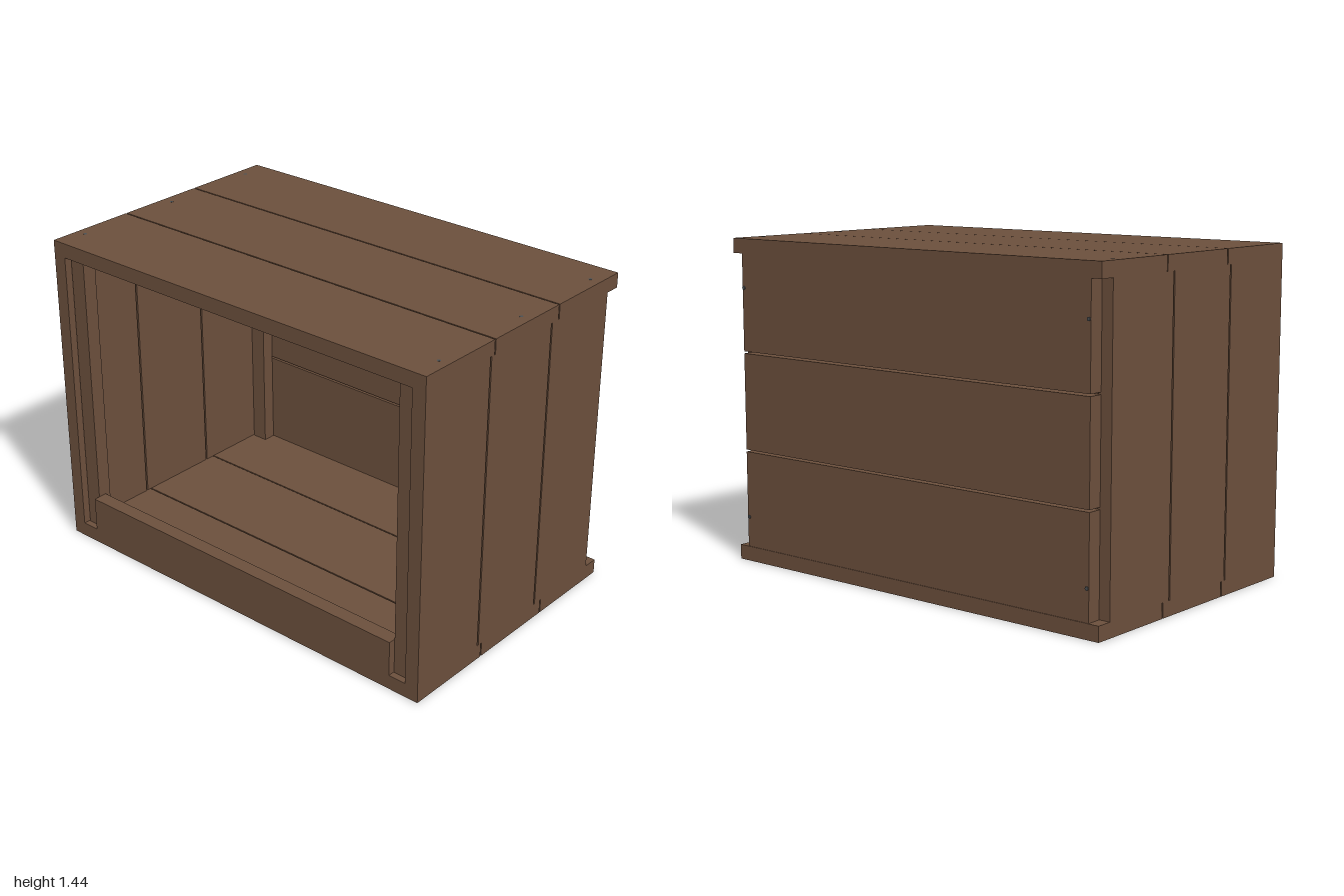
import * as THREE from 'three';

const wood = new THREE.MeshStandardMaterial({ color: 0x6b4f3c });
const metal = new THREE.MeshStandardMaterial({ color: 0x8f9a9c });
const darkMetal = new THREE.MeshStandardMaterial({ color: 0x4a4f52 });

const H = 1.435, T = 0.065;          // overall height, plank thickness
const LOW = T, HIGH = H - T;         // inner floor and ceiling

// Board given by its extents on each axis
function board(parent, name, [x0, x1], [y0, y1], [z0, z1]) {
  const mesh = new THREE.Mesh(new THREE.BoxGeometry(x1 - x0, y1 - y0, z1 - z0), wood);
  mesh.name = name;
  mesh.position.set((x0 + x1) / 2, (y0 + y1) / 2, (z0 + z1) / 2);
  parent.add(mesh);
}

// Splits a span into three equal planks with narrow gaps
function thirds(a, b, gap) {
  const w = (b - a - 2 * gap) / 3;
  return [0, 1, 2].map(i => [a + i * (w + gap), a + i * (w + gap) + w]);
}

// Small screw head whose axis is y, or z when alongZ is set
function screw(parent, x, y, z, alongZ) {
  const mesh = new THREE.Mesh(new THREE.CylinderGeometry(0.008, 0.008, 0.012, 12), darkMetal);
  mesh.name = 'screwHead';
  mesh.position.set(x, y, z);
  if (alongZ) mesh.rotation.x = Math.PI / 2;
  parent.add(mesh);
}

export function createModel() {
  const model = new THREE.Group();
  model.name = 'woodenCrate';
  const section = name => {
    const g = new THREE.Group();
    g.name = name;
    model.add(g);
    return g;
  };
  const bottom = section('bottom'), top = section('top'), back = section('back');
  const sides = section('sides'), posts = section('cornerPosts'), fittings = section('fittings');

  // Bottom and top planks run the full width
  for (const z of thirds(-0.63, 0.63, 0.006)) {
    board(bottom, 'bottomPlank', [-1, 1], [0, T], z);
    board(top, 'topPlank', [-1, 1], [HIGH, H], z);
  }

  // Back planks sit behind the side walls
  for (const y of thirds(LOW, HIGH, 0.009))
    board(back, 'backPlank', [-0.95, 0.95], y, [-0.627, -0.561]);

  // Upright side planks and inner corner posts, mirrored
  for (const s of [-1, 1]) {
    const span = (a, b) => (s > 0 ? [a, b] : [-b, -a]);
    for (const z of thirds(-0.56, 0.63, 0.008))
      board(sides, 'sidePlank', span(0.937, 1), [LOW, HIGH], z);
    board(posts, 'frontPost', span(0.857, 0.932), [LOW, HIGH], [0.535, 0.6]);
    board(posts, 'backPost', span(0.857, 0.932), [LOW, HIGH], [-0.56, -0.5]);

    // Screw heads
    for (const z of [-0.5, -0.02, 0.495]) screw(fittings, s * 0.952, H - 0.0055, z, false);
    for (const y of [0.2, 1.22]) screw(fittings, s * 0.941, y, -0.625, true);

    // Round washer with a centre stud on the inside of the back
    const washer = new THREE.Mesh(new THREE.TorusGeometry(0.022, 0.006, 10, 32), metal);
    washer.name = 'washer';
    washer.position.set(s * 0.695, 1.15, -0.558);
    const stud = new THREE.Mesh(new THREE.CylinderGeometry(0.016, 0.016, 0.01, 24), darkMetal);
    stud.name = 'stud';
    stud.rotation.x = Math.PI / 2;
    stud.position.copy(washer.position);
    fittings.add(washer, stud);
  }

  // Low lip board across the front opening
  board(model, 'frontLip', [-0.855, 0.855], [LOW, 0.222], [0.565, 0.63]);

  return model;
}
